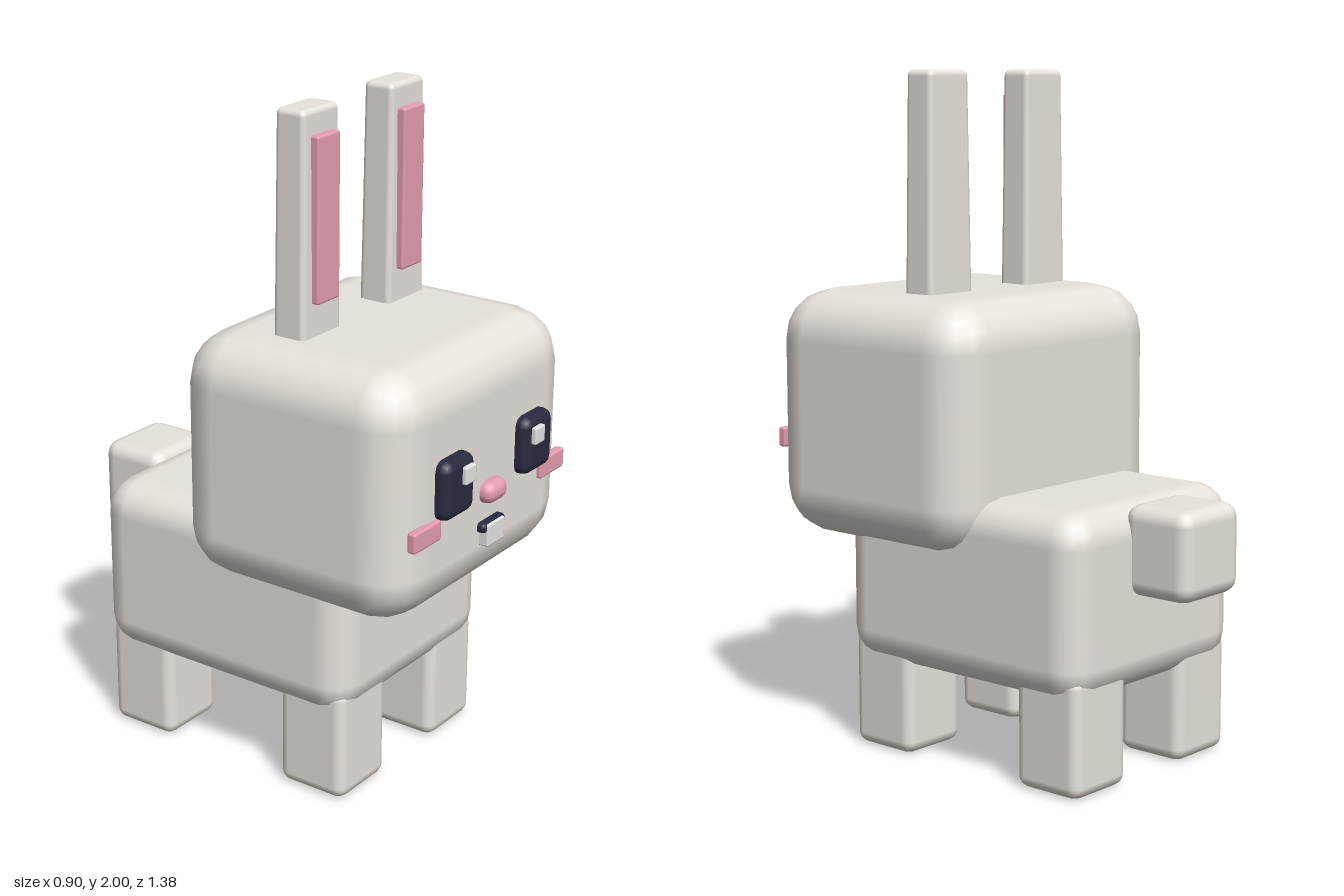
import * as THREE from 'three';
import { RoundedBoxGeometry } from 'three/addons/geometries/RoundedBoxGeometry.js';

const material = (name, color) => {
  const m = new THREE.MeshStandardMaterial({ color });
  m.name = name;
  return m;
};

export function createModel() {
  const fur = material('fur', 0xf0ebe4);
  const pink = material('pink', 0xf4a7b9);
  const dark = material('dark', 0x2a2a40);
  const white = material('white', 0xfbfbfb);

  const model = new THREE.Group();
  model.name = 'rabbit';

  // Rounded block given by its extents along each axis
  function block(name, mat, [x0, x1], [y0, y1], [z0, z1], radius, segments = 2) {
    const geometry = new RoundedBoxGeometry(x1 - x0, y1 - y0, z1 - z0, segments, radius);
    const mesh = new THREE.Mesh(geometry, mat);
    mesh.name = name;
    mesh.position.set((x0 + x1) / 2, (y0 + y1) / 2, (z0 + z1) / 2);
    model.add(mesh);
    return mesh;
  }

  // Narrows a block slightly towards its top
  function taper(mesh, height, amount) {
    const p = mesh.geometry.attributes.position;
    for (let i = 0; i < p.count; i++) {
      const s = 1 - amount * (p.getY(i) / height + 0.5);
      p.setX(i, p.getX(i) * s);
      p.setZ(i, p.getZ(i) * s);
    }
  }

  // Trunk, head and tail
  block('body', fur, [-0.375, 0.375], [0.27, 0.81], [-0.5, 0.4], 0.1);
  block('head', fur, [-0.45, 0.45], [0.63, 1.365], [-0.145, 0.635], 0.15);
  block('tail', fur, [-0.13, 0.13], [0.55, 0.81], [-0.69, -0.46], 0.045);

  // Nose, mouth and teeth
  block('nose', pink, [-0.05, 0.05], [0.905, 0.97], [0.6, 0.675], 0.03);
  block('mouth', dark, [-0.057, 0.057], [0.822, 0.852], [0.61, 0.66], 0.012);
  block('teeth', white, [-0.045, 0.045], [0.78, 0.848], [0.625, 0.664], 0.006, 1);

  // Mirrored parts
  for (const [side, s] of [['left', 1], ['right', -1]]) {
    const span = (a, b) => (s > 0 ? [a, b] : [-b, -a]);

    block(side + 'FrontLeg', fur, span(0.118, 0.346), [0.005, 0.355], [0.155, 0.383], 0.035);
    block(side + 'BackLeg', fur, span(0.118, 0.346), [0.005, 0.355], [-0.483, -0.255], 0.035);

    const ear = block(side + 'Ear', fur, span(0.115, 0.297), [1.3, 2], [0.103, 0.211], 0.018);
    taper(ear, 0.7, 0.11);
    block(side + 'InnerEar', pink, span(0.153, 0.255), [1.46, 1.93], [0.19, 0.231], 0.008, 1);

    block(side + 'Eye', dark, span(0.132, 0.278), [0.933, 1.106], [0.6, 0.677], 0.03);
    block(side + 'EyeHighlight', white, span(0.155, 0.207), [1.028, 1.08], [0.66, 0.69], 0.006, 1);
    block(side + 'Cheek', pink, span(0.26, 0.392), [0.88, 0.94], [0.622, 0.65], 0.008, 1);
  }

  return model;
}
